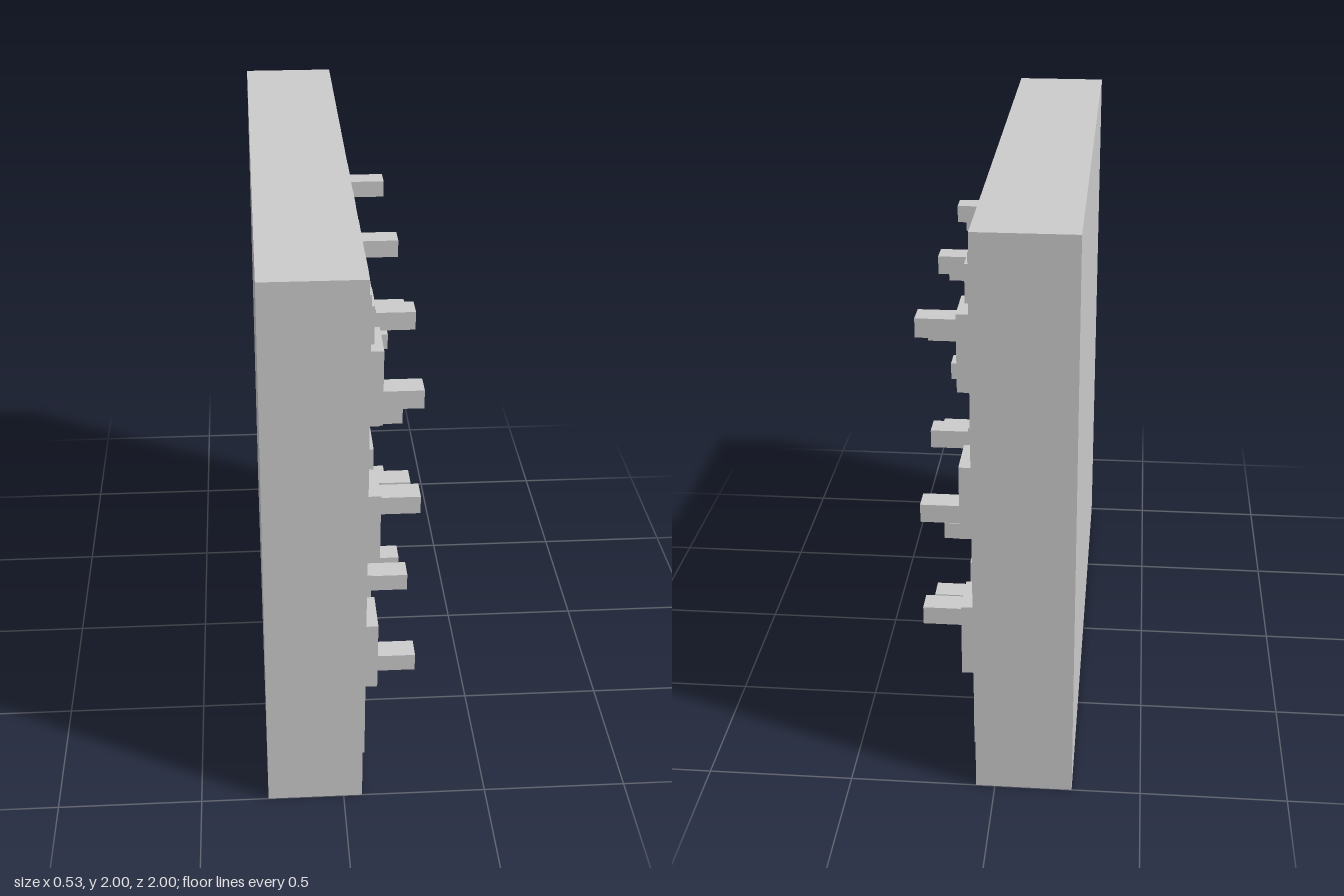
import * as THREE from 'three';

export function createModel() {
  const model = new THREE.Group();
  const material = new THREE.MeshStandardMaterial({ color: 0xcccccc, flatShading: true });

  // Box spanning x0..x1, centred on y and z
  function box(name, x0, x1, y, z, height, depth, parent = model) {
    const mesh = new THREE.Mesh(new THREE.BoxGeometry(x1 - x0, height, depth), material);
    mesh.name = name;
    mesh.position.set((x0 + x1) / 2, y, z);
    parent.add(mesh);
  }

  // Cabinet body, raised face plate and header strip
  box('cabinet', -0.265, 0.065, 1, 0, 2, 2);
  box('facePlate', 0.06, 0.08, 1.004, 0, 1.8, 1.8);
  box('headerStrip', 0.07, 0.09, 1.803, 0, 0.127, 1.8);

  // Three rows of six switches, levers alternating up and down
  const rows = 3, columns = 6;
  for (let r = 0; r < rows; r++) {
    for (let c = 0; c < columns; c++) {
      const unit = new THREE.Group();
      unit.name = `switch_${r + 1}_${c + 1}`;
      const y = 1.538 - r * 0.534;
      const z = 0.735 - c * 0.294;
      const lever = (r + c) % 2 ? 0.066 : -0.066;
      box('switchBase', 0.075, 0.129, y, z, 0.266, 0.166, unit);
      box('lever', 0.12, 0.265, y + lever, z, 0.065, 0.08, unit);
      box('indicator', 0.075, 0.09, y + 0.21, z, 0.048, 0.066, unit);
      model.add(unit);
    }
  }
  return model;
}
